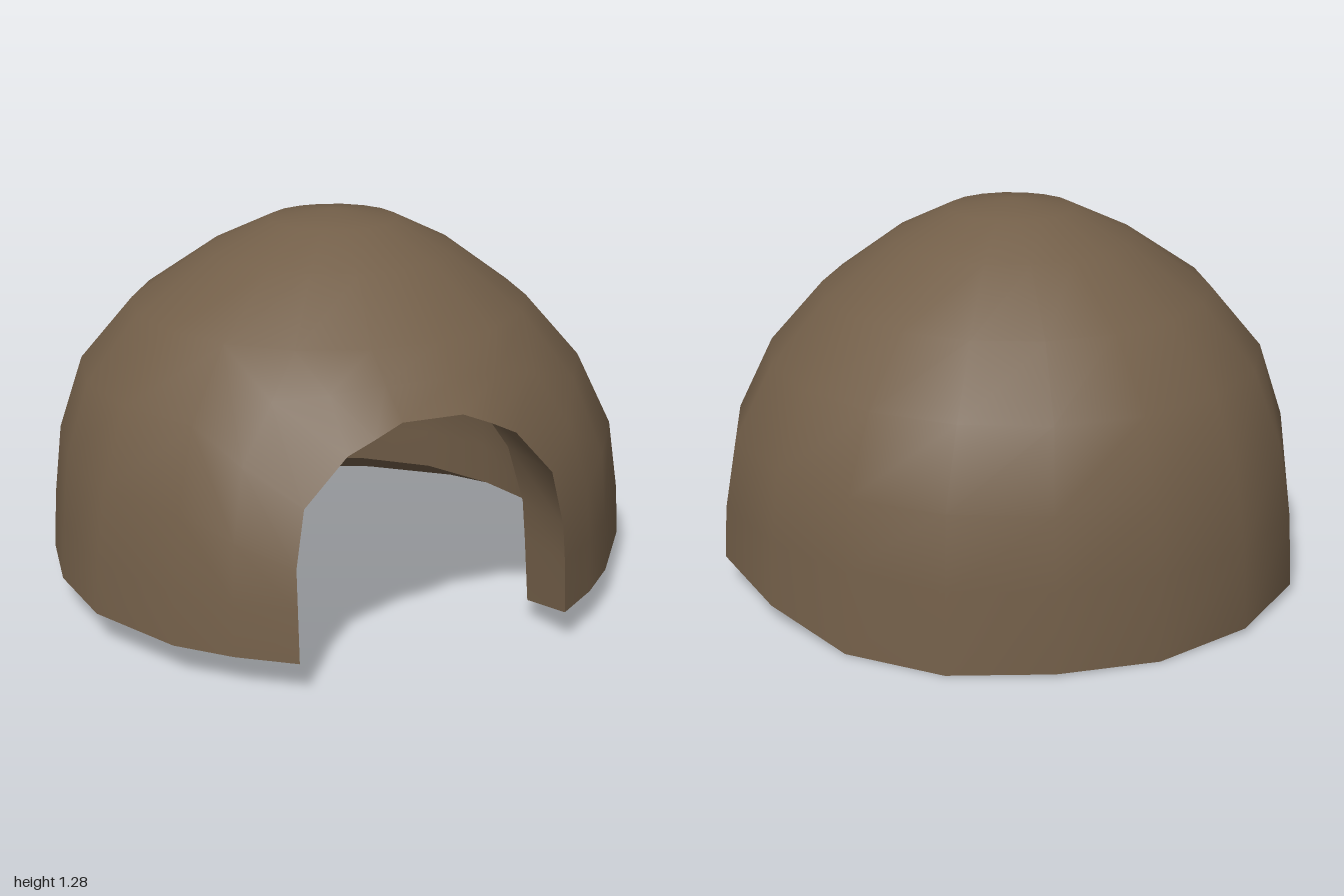
import * as THREE from 'three';
import { mergeGeometries, mergeVertices } from 'three/addons/utils/BufferGeometryUtils.js';

// rings: [height, radius, x of the centre]
// hem: bottom height, flare: uneven radius of the lower wall, both every 20 degrees
// (0 = left side, 90 = front, 270 = back)
const OUTER = {
  rings: [[0, 1, -0.035], [0.28, 0.982, -0.035], [0.52, 0.95, -0.032], [0.77, 0.847, -0.045],
    [0.98, 0.665, -0.045], [1.155, 0.415, -0.035], [1.25, 0.215, -0.03], [1.28, 0, -0.03]],
  hem: [0.1, 0.11, 0.11, 0.11, 0.11, 0.11, 0.11, 0.11, 0.11,
    0.097, 0.08, 0.03, 0.015, 0, 0.01, 0, 0.005, 0.06],
  flare: [1.037, 1.017, 0.977, 0.979, 1.06, 1.06, 1.006, 1.01, 0.998,
    0.97, 0.982, 1.02, 1.015, 0.99, 0.986, 0.99, 0.99, 1],
  doorScale: 1,
  crownPush: 0,
};
const INNER = {
  rings: [[0, 0.8, -0.035], [0.26, 0.765, -0.035], [0.46, 0.74, -0.032], [0.65, 0.662, -0.045],
    [0.81, 0.515, -0.045], [0.96, 0.31, -0.035], [1.03, 0.155, -0.03], [1.055, 0, -0.03]],
  hem: [0.1, 0.09, 0.08, 0.068, 0.065, 0.065, 0.068, 0.08, 0.09,
    0.1, 0.105, 0.11, 0.11, 0.11, 0.11, 0.11, 0.11, 0.105],
  flare: [1.04, 1.02, 1, 1, 1.02, 1.02, 1.01, 1.01, 0.99,
    0.97, 0.975, 0.99, 1, 1, 1, 1, 1, 1],
  doorScale: 0.945,
  crownPush: 0.07,
};
const CENTRE_Z = 0.04;
const DOOR_X = -0.035;
const CROWN_Y = 0.6;

// Doorway outline from lower right side of the dome over the arch; null = hem height
const DOOR = [[-0.487, null], [-0.487, 0.28], [-0.483, 0.4], [-0.448, 0.575], [-0.31, 0.72],
  [-0.22, 0.765], [-0.13, 0.8], [0.07, 0.8], [0.16, 0.765], [0.25, 0.72], [0.378, 0.575],
  [0.415, 0.4], [0.42, 0.28], [0.42, null]];

// Linear lookup in a table sorted by its first column
function lookup(table, t, column) {
  let i = 1;
  while (i < table.length - 1 && t > table[i][0]) i++;
  const a = table[i - 1], b = table[i];
  return THREE.MathUtils.mapLinear(t, a[0], b[0], a[column], b[column]);
}

// Linear lookup around the circle
function around(values, deg) {
  const t = (deg % 360) / 20, i = Math.floor(t);
  return THREE.MathUtils.lerp(values[i], values[(i + 1) % values.length], t - i);
}

// Ring radius with the flare fading out towards the top
function radiusAt(shell, deg, y) {
  const fade = THREE.MathUtils.clamp((0.9 - y) / 0.62, 0, 1);
  return lookup(shell.rings, y, 1) * (1 + (around(shell.flare, deg) - 1) * fade);
}

function pointAt(shell, deg, y) {
  const angle = THREE.MathUtils.degToRad(deg % 360);
  const r = radiusAt(shell, deg, y);
  return [lookup(shell.rings, y, 2) + r * Math.cos(angle), y, CENTRE_Z + r * Math.sin(angle)];
}

const levelY = (shell, row, deg) => (row === 0 ? around(shell.hem, deg) : shell.rings[row][0]);

// Surface between successive rows of points
function loft(rows, flip = false) {
  const n = rows[0].length, index = [];
  for (let j = 0; j < rows.length - 1; j++) {
    for (let i = 0; i < n - 1; i++) {
      const a = j * n + i, b = a + n;
      if (flip) index.push(a, a + 1, b, a + 1, b + 1, b);
      else index.push(a, b, a + 1, a + 1, b, b + 1);
    }
  }
  const geometry = new THREE.BufferGeometry();
  geometry.setAttribute('position', new THREE.Float32BufferAttribute(rows.flat(2), 3));
  geometry.setIndex(index);
  geometry.computeVertexNormals();
  return geometry;
}

// Angle and height of a doorway point on the shell; the jambs taper inwards, the crown does not
function doorPoint(shell, [x, h]) {
  const y = h ?? around(shell.hem, 60);
  const scale = y < CROWN_Y ? shell.doorScale : 1;
  const dx = DOOR_X + (x - DOOR_X) * scale - lookup(shell.rings, y, 2);
  let deg = 90;
  for (let i = 0; i < 4; i++) deg = THREE.MathUtils.radToDeg(Math.acos(dx / radiusAt(shell, deg, y)));
  return [deg, y];
}

// Loops running from the edge of the front panel (0) to the doorway (1)
function frontLoops(shell) {
  const edge = [];
  for (let row = 0; row < 4; row++) edge.push([140, levelY(shell, row, 140)]);
  for (let deg = 140; deg >= 40; deg -= 20) edge.push([deg, levelY(shell, 4, deg)]);
  for (let row = 3; row >= 0; row--) edge.push([40, levelY(shell, row, 40)]);
  const door = DOOR.map((point) => doorPoint(shell, point));
  return [0, 0.5, 1].map((f) => edge.map(([deg, y], i) => {
    const [doorDeg, doorY] = door[i];
    const point = pointAt(shell, deg + (doorDeg - deg) * f, y + (doorY - y) * f);
    // the crown of the arch leans towards the front
    if (doorY > CROWN_Y) point[2] += f * f * shell.crownPush;
    return point;
  }));
}

// Grid of dome points over a span of rings and angles
function domeRows(shell, firstRow, lastRow, fromDeg, toDeg) {
  const rows = [];
  for (let row = firstRow; row <= lastRow; row++) {
    const points = [];
    for (let deg = fromDeg; deg <= toDeg; deg += 20) points.push(pointAt(shell, deg, levelY(shell, row, deg)));
    rows.push(points);
  }
  return rows;
}

// Whole dome surface: wall around the back, cap on top, panel around the doorway
function shellGeometry(shell, flip) {
  const parts = [
    loft(domeRows(shell, 0, 4, 140, 400), flip),
    loft(domeRows(shell, 4, 7, 0, 360), flip),
    loft(frontLoops(shell), flip),
  ];
  parts.forEach((part) => part.deleteAttribute('normal'));
  const geometry = mergeVertices(mergeGeometries(parts), 1e-4);
  geometry.computeVertexNormals();
  return geometry;
}

// Bottom edge from one side of the doorway round the back to the other
function hemPoints(shell) {
  const [, middle, door] = frontLoops(shell);
  return [door[0], middle[0], ...domeRows(shell, 0, 0, 140, 400)[0], middle.at(-1), door.at(-1)];
}

export function createModel() {
  const group = new THREE.Group();
  group.name = 'domeShelter';
  const clay = new THREE.MeshStandardMaterial({ color: 0x735f49 });
  clay.name = 'brown clay';

  const add = (name, geometry) => {
    const mesh = new THREE.Mesh(geometry, clay);
    mesh.name = name;
    group.add(mesh);
  };

  add('outerDome', shellGeometry(OUTER, false));
  add('innerDome', shellGeometry(INNER, true));
  add('bottomRim', loft([hemPoints(INNER), hemPoints(OUTER)]));
  add('doorwayFrame', loft([frontLoops(OUTER)[2], frontLoops(INNER)[2]]));
  return group;
}
